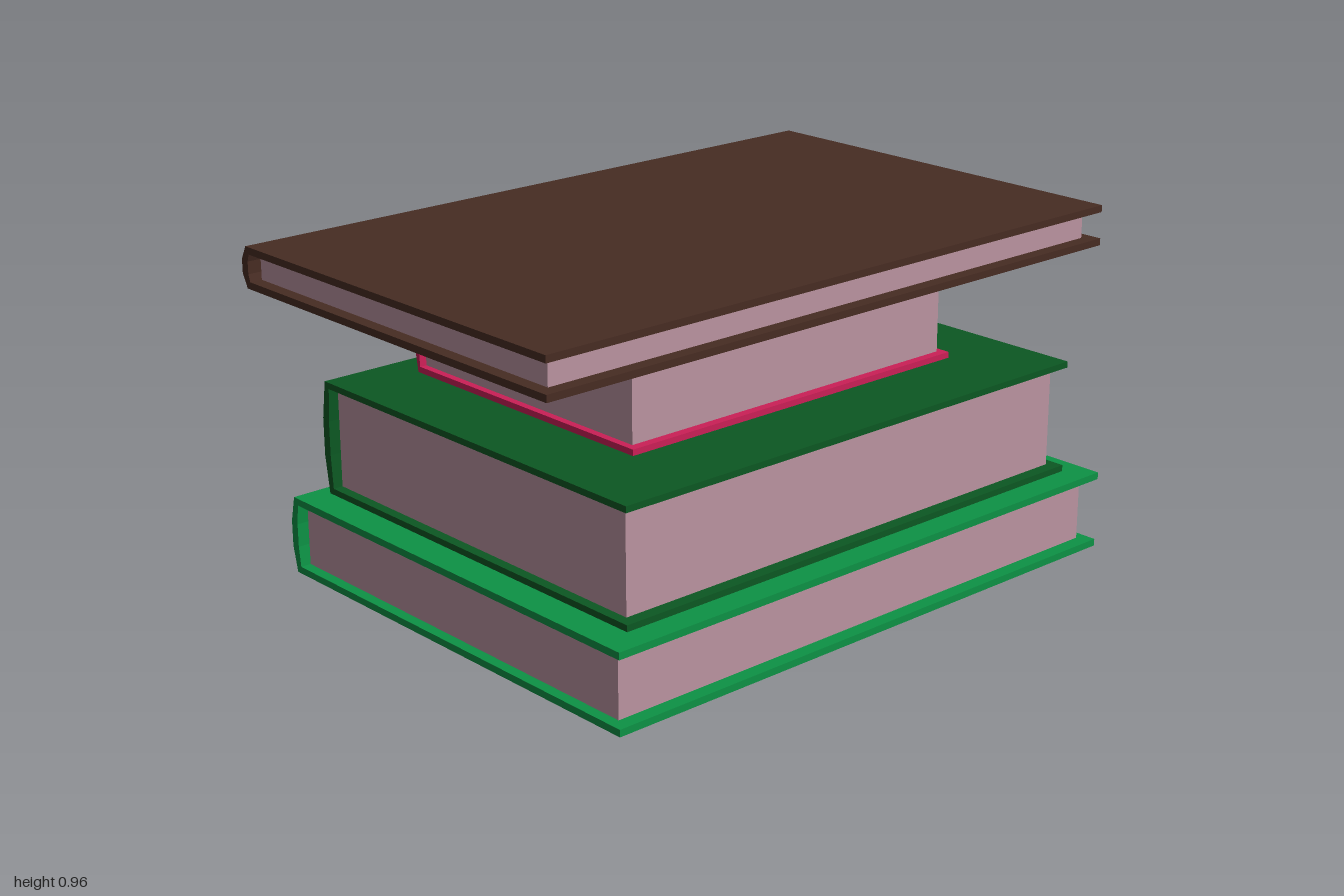
import * as THREE from 'three';

function material(name, color) {
  const m = new THREE.MeshStandardMaterial({ color });
  m.name = name;
  return m;
}

// Cover: C-shaped section with a faceted spine on -x, extruded along z
function makeCover(b, mat) {
  const { y0, y1, corner, spine, right, inner, gutter, board, depth } = b;
  const h = y1 - y0;
  const s = new THREE.Shape([
    [right, y0], [right, y0 + board], [inner, y0 + board],
    [gutter, y0 + h * 0.35], [gutter, y1 - h * 0.35],
    [inner, y1 - board], [right, y1 - board], [right, y1],
    [corner, y1], [spine, y1 - h / 3], [spine, y0 + h / 3], [corner, y0],
  ].map(([x, y]) => new THREE.Vector2(x, y)));
  const geo = new THREE.ExtrudeGeometry(s, { depth: depth * 2, bevelEnabled: false });
  geo.translate(0, 0, -depth);
  const mesh = new THREE.Mesh(geo, mat);
  mesh.name = 'cover';
  return mesh;
}

// Page block filling the space between the boards
function makePages(b, mat) {
  const w = b.pageRight - b.inner;
  const h = b.y1 - b.y0 - 2 * b.board;
  const mesh = new THREE.Mesh(new THREE.BoxGeometry(w, h, b.pageDepth * 2), mat);
  mesh.position.set(b.inner + w / 2, (b.y0 + b.y1) / 2, 0);
  mesh.name = 'pages';
  return mesh;
}

export function createModel() {
  const paper = material('dusty pink paper', 0xbb94a1);
  const green = material('green', 0x0d9245);
  const darkGreen = material('dark green', 0x0c5823);
  const crimson = material('crimson', 0xcb1f57);
  const brown = material('dark brown', 0x472c23);

  // Books from bottom to top; depth values are half extents along z
  const books = [
    { name: 'bottomBook', mat: green, y0: 0, y1: 0.223, spine: -0.695, corner: -0.678, gutter: -0.668, inner: -0.661, right: 0.695, pageRight: 0.654, board: 0.02, depth: 0.893, pageDepth: 0.862 },
    { name: 'thickBook', mat: darkGreen, y0: 0.23, y1: 0.556, spine: -0.636, corner: -0.62, gutter: -0.609, inner: -0.602, right: 0.631, pageRight: 0.595, board: 0.018, depth: 0.812, pageDepth: 0.783 },
    { name: 'smallBook', mat: crimson, y0: 0.56, y1: 0.84, spine: -0.519, corner: -0.503, gutter: -0.5, inner: -0.494, right: 0.393, pageRight: 0.367, board: 0.017, depth: 0.583, pageDepth: 0.562 },
    { name: 'topBook', mat: brown, y0: 0.844, y1: 0.96, spine: -0.697, corner: -0.677, gutter: -0.67, inner: -0.663, right: 0.574, pageRight: 0.535, board: 0.02, depth: 1, pageDepth: 0.964 },
  ];

  const model = new THREE.Group();
  model.name = 'bookStack';
  for (const b of books) {
    const book = new THREE.Group();
    book.name = b.name;
    book.add(makeCover(b, b.mat), makePages(b, paper));
    model.add(book);
  }
  return model;
}
